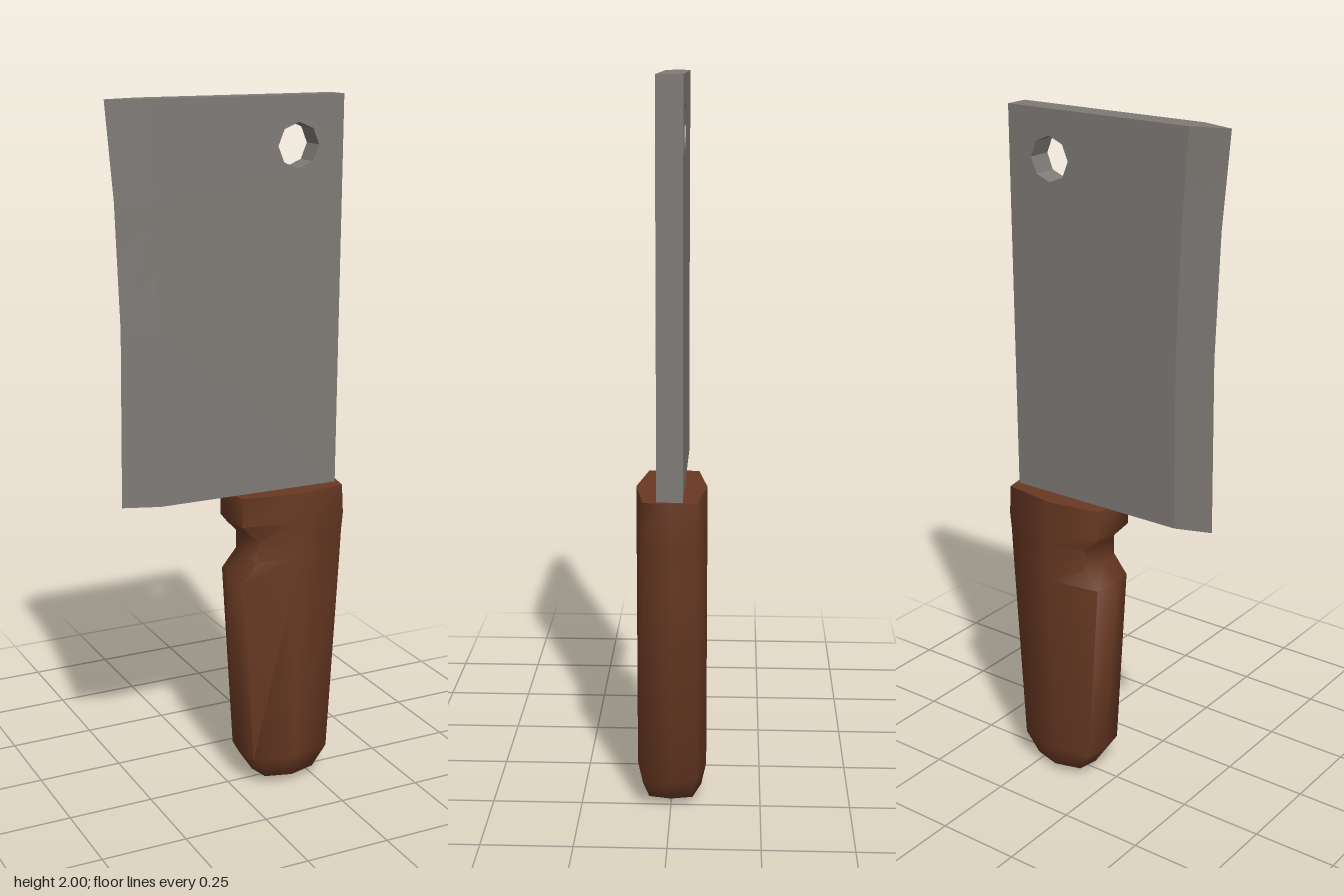
import * as THREE from 'three';
import { toCreasedNormals } from 'three/addons/utils/BufferGeometryUtils.js';

// Joins closed rings (bottom to top) with quads and closes both ends with fans.
function loft(rings, bottomY, topY, crease) {
  const n = rings[0].length, last = rings.length - 1;
  const pos = rings.flat(2), idx = [];
  for (let i = 0; i < last; i++) {
    for (let j = 0; j < n; j++) {
      const a = i * n + j, b = i * n + (j + 1) % n;
      idx.push(a, b, b + n, a, b + n, a + n);
    }
  }
  const centre = (ring, y) => {
    pos.push(ring.reduce((s, p) => s + p[0], 0) / n, y, ring.reduce((s, p) => s + p[2], 0) / n);
    return pos.length / 3 - 1;
  };
  const low = centre(rings[0], bottomY), high = centre(rings[last], topY);
  for (let j = 0; j < n; j++) {
    const k = (j + 1) % n;
    idx.push(low, k, j, high, last * n + j, last * n + k);
  }
  const g = new THREE.BufferGeometry();
  g.setAttribute('position', new THREE.Float32BufferAttribute(pos, 3));
  g.setIndex(idx);
  return toCreasedNormals(g, crease);
}

export function createModel() {
  const steel = new THREE.MeshStandardMaterial({ color: 0x7e7a76 });
  steel.name = 'steel';
  const wood = new THREE.MeshStandardMaterial({ color: 0x693923 });
  wood.name = 'wood';
  const model = new THREE.Group();
  model.name = 'cleaver';
  const add = (name, geometry, material) => {
    const mesh = new THREE.Mesh(geometry, material);
    mesh.name = name;
    model.add(mesh);
  };

  // Cutting side of the blade: y, sharp edge x, inner bevel x
  const half = 0.035;
  const edge = [
    [0.905, -0.322, -0.222],
    [1.4, -0.316, -0.218],
    [1.74, -0.328, -0.23],
    [2, -0.35, -0.248],
  ];

  // Flat blade with an octagonal hanging hole
  const outline = new THREE.Shape();
  outline.moveTo(0.326, 0.905);
  outline.lineTo(0.332, 2);
  [...edge].reverse().forEach(([y, , x]) => outline.lineTo(x, y));
  const hole = new THREE.Path();
  for (let i = 0; i < 8; i++) {
    const a = -i * Math.PI / 4;
    const x = 0.195 + 0.062 * Math.cos(a), y = 1.867 + 0.062 * Math.sin(a);
    if (i) hole.lineTo(x, y); else hole.moveTo(x, y);
  }
  hole.closePath();
  outline.holes.push(hole);
  const plate = new THREE.ExtrudeGeometry(outline, { depth: 2 * half, bevelEnabled: false });
  plate.translate(0, 0, -half);
  add('blade', plate, steel);

  // Sharpened bevel
  const bevel = edge.map(([y, tip, inner]) => [[tip, y, 0], [inner, y, half], [inner, y, -half]]);
  add('cuttingEdge', loft(bevel, 0.905, 2, 0.4), steel);

  // Handle sections: y, left x, right x, half depth; the finger notch is on the cutting side
  const sections = [
    [0.025, 0.08, 0.265, 0.083],
    [0.09, 0.037, 0.305, 0.097],
    [0.655, 0.002, 0.337, 0.097],
    [0.71, 0.047, 0.34, 0.097],
    [0.77, 0.047, 0.343, 0.097],
    [0.82, -0.002, 0.348, 0.097],
    [0.905, -0.002, 0.343, 0.097],
  ];
  const handle = sections.map(([y, l, r, d]) => [
    [l, y, 0], [l + 0.013, y, d * 0.73], [0.171, y, d], [r - 0.013, y, d * 0.73],
    [r, y, 0], [r - 0.013, y, -d * 0.73], [0.171, y, -d], [l + 0.013, y, -d * 0.73],
  ]);
  add('handle', loft(handle, 0, 0.905, 1.25), wood);

  return model;
}
